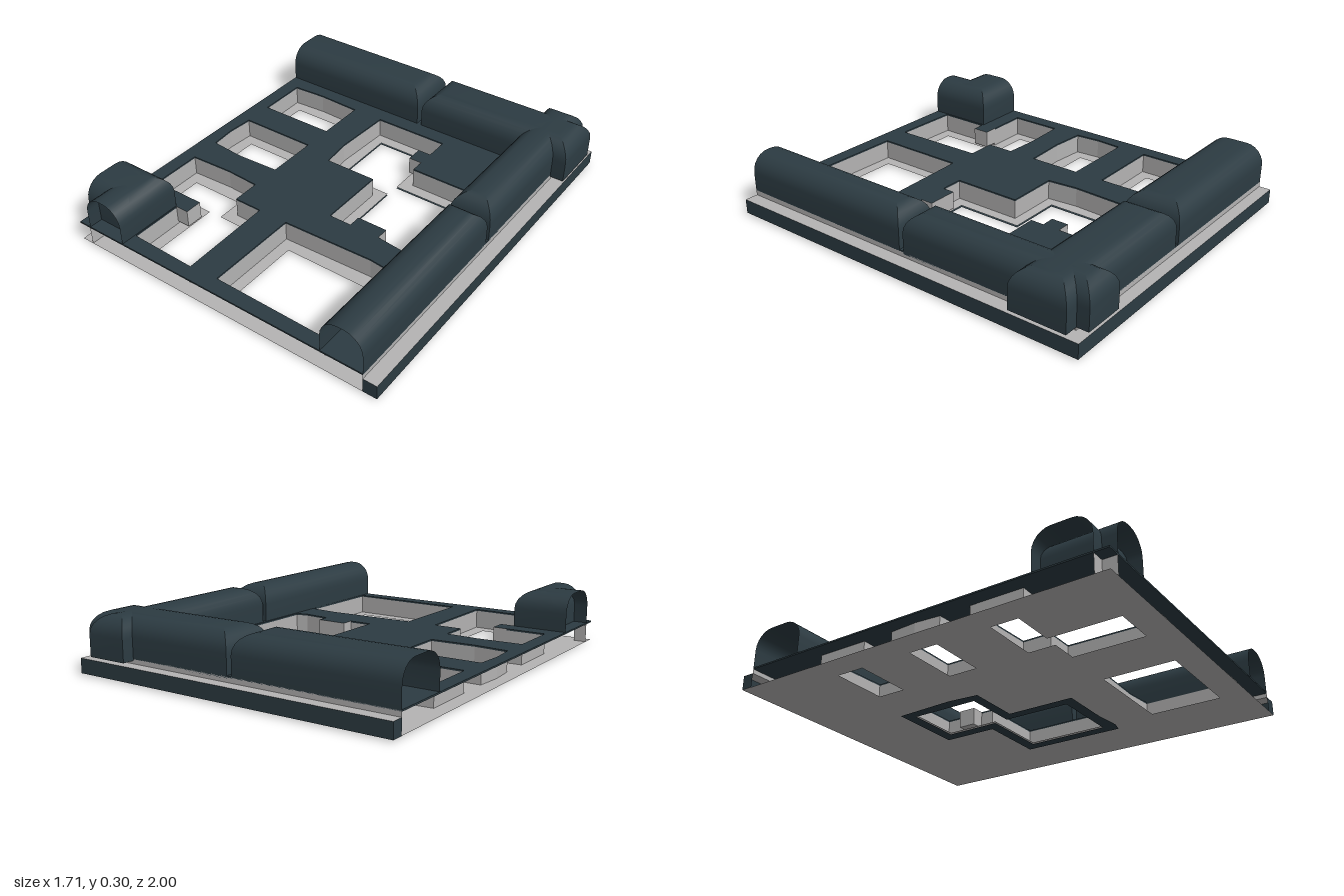
import * as THREE from 'three';
import { toCreasedNormals } from 'three/addons/utils/BufferGeometryUtils.js';

const FLOOR = 0.115, BASE = 0.012;

export function createModel() {
  const model = new THREE.Group();
  model.name = 'wallTile';
  const dark = new THREE.MeshStandardMaterial({ color: 0x2c3b42, side: THREE.DoubleSide });
  dark.name = 'dark slate';
  const light = new THREE.MeshStandardMaterial({ color: 0xb4b3b3, side: THREE.DoubleSide });
  light.name = 'pale grey';

  const add = (name, geometry, material) => {
    const mesh = new THREE.Mesh(geometry, material);
    mesh.name = name;
    model.add(mesh);
    return mesh;
  };
  // plan outlines are [x, z] pairs
  const rect = (x0, z0, x1, z1) => [[x0, z0], [x1, z0], [x1, z1], [x0, z1]];
  const points = (outline) => outline.map(([x, z]) => new THREE.Vector2(x, -z));
  const plan = (outline, holes = []) => {
    const shape = new THREE.Shape(points(outline));
    shape.holes = holes.map((h) => new THREE.Path(points(h)));
    return shape;
  };
  const sheet = (outline, holes, y) =>
    new THREE.ShapeGeometry(plan(outline, holes)).rotateX(-Math.PI / 2).translate(0, y, 0);

  // vertical strip following a plan outline
  const strip = (outline, y0, y1, closed) => {
    const pos = [], n = outline.length;
    for (let i = 0; i < (closed ? n : n - 1); i++) {
      const [ax, az] = outline[i], [bx, bz] = outline[(i + 1) % n];
      pos.push(ax, y0, az, ax, y1, az, bx, y1, bz, ax, y0, az, bx, y1, bz, bx, y0, bz);
    }
    const g = new THREE.BufferGeometry();
    g.setAttribute('position', new THREE.Float32BufferAttribute(pos, 3));
    g.computeVertexNormals();
    return g;
  };

  // openings: slightly uneven upper outline, smaller lower outline
  const openings = [
    { outer: [[-0.78, -0.565], [-0.6, -0.575], [-0.37, -0.565], [-0.37, -0.3], [-0.78, -0.3]],
      inner: rect(-0.72, -0.505, -0.43, -0.36) },
    { outer: [[-0.78, -0.14], [-0.37, -0.14], [-0.37, 0.135], [-0.6, 0.145], [-0.78, 0.13], [-0.79, 0]],
      inner: rect(-0.72, -0.08, -0.43, 0.07) },
    { outer: [[-0.78, 0.29], [-0.55, 0.28], [-0.37, 0.29], [-0.37, 0.435], [-0.22, 0.435], [-0.21, 0.93],
        [-0.565, 0.92], [-0.565, 0.56], [-0.78, 0.56]],
      inner: [[-0.72, 0.355], [-0.43, 0.355], [-0.43, 0.495], [-0.285, 0.495], [-0.285, 0.86],
        [-0.5, 0.86], [-0.5, 0.495], [-0.72, 0.495]] },
    { outer: [[-0.06, 0.435], [0.42, 0.42], [0.57, 0.435], [0.565, 0.93], [-0.06, 0.92]],
      inner: rect(0, 0.495, 0.5, 0.86) },
    { outer: [[-0.2, -0.565], [0.2, -0.565], [0.2, -0.28], [0.56, -0.28], [0.56, 0.27], [0.5, 0.285],
        [0.36, 0.27], [0.08, 0.27], [0.08, -0.09], [-0.2, -0.09], [-0.215, -0.25]],
      inner: [[-0.15, -0.505], [0.14, -0.505], [0.14, -0.22], [0.5, -0.22], [0.5, 0.21],
        [0.135, 0.21], [0.135, -0.145], [-0.15, -0.145]] },
  ];

  // upper floor, lower floor and the sleeves between them
  const floor = new THREE.ExtrudeGeometry(
    plan(rect(-0.855, -0.94, 0.785, 1), openings.map((o) => o.outer)),
    { depth: 0.008, bevelEnabled: false });
  add('upperFloor', floor.rotateX(-Math.PI / 2).translate(0, FLOOR - 0.008, 0), dark);
  add('lowerFloor', sheet(rect(-0.855, -1, 0.855, 1), openings.map((o) => o.inner), BASE), light);
  openings.forEach((o) => add('openingSleeve', strip(o.outer, BASE, FLOOR - 0.008, true), light));
  const stepped = openings[4];
  add('openingUnderRim', sheet(stepped.outer, [stepped.inner], 0.003), dark);

  // outer ledge along the back and left sides
  const ledge = [[-0.855, -1], [0.855, -1], [0.855, 1], [0.785, 1], [0.785, -0.94], [-0.855, -0.94]];
  add('ledgeTop', sheet(ledge, [], 0.085), light);
  add('ledgeSide', strip([[-0.855, -0.94], ...ledge.slice(0, 4)], BASE, 0.085, false), dark);
  add('ledgeRiser', strip(ledge.slice(3), 0.085, FLOOR - 0.004, false), light);
  add('cornerPost', strip([[-0.79, 1], [-0.79, 0.93], [-0.855, 0.93]], BASE, FLOOR - 0.008, false), light);

  // small tabs reaching into the openings
  [[0.13, -0.44, 0.2, -0.35], [0.2, 0.205, 0.36, 0.27], [-0.57, 0.56, -0.495, 0.65]].forEach(([x0, z0, x1, z1]) => {
    const tab = add('tab', new THREE.BoxGeometry(x1 - x0, 0.09, z1 - z0),
      [light, light, dark, light, light, light]);
    tab.position.set((x0 + x1) / 2, FLOOR - 0.045, (z0 + z1) / 2);
  });

  // wall shell with rounded top; sides listed in `open` stay cut off and uncapped
  const wall = (name, x0, z0, x1, z1, base, open = '') => {
    const rings = [[0, base]], steps = 6, r = 0.095;
    for (let i = 0; i <= steps; i++) {
      const a = (i / steps) * Math.PI / 2;
      rings.push([r * (1 - Math.cos(a)), 0.207 + r * Math.sin(a)]);
    }
    const loops = rings.map(([inset, y]) => {
      const lx = open === 'left' ? x0 : x0 + inset;
      const hz = open === 'front' ? z1 : z1 - inset;
      return [[lx, y, hz], [x1 - inset, y, hz], [x1 - inset, y, z0 + inset], [lx, y, z0 + inset]];
    });
    const pos = [];
    const quad = (a, b, c, d) => pos.push(...a, ...b, ...c, ...a, ...c, ...d);
    for (let i = 0; i < loops.length - 1; i++) {
      for (let k = 0; k < 4; k++) {
        if ((open === 'front' && k === 0) || (open === 'left' && k === 3)) continue;
        const m = (k + 1) % 4;
        quad(loops[i][k], loops[i][m], loops[i + 1][m], loops[i + 1][k]);
      }
    }
    quad(...loops[loops.length - 1]);
    const g = new THREE.BufferGeometry();
    g.setAttribute('position', new THREE.Float32BufferAttribute(pos, 3));
    add(name, toCreasedNormals(g, 0.5), dark);
  };
  wall('backWallOpenHalf', -0.855, -0.94, -0.015, -0.65, FLOOR, 'left');
  wall('backWallCornerHalf', 0.01, -0.94, 0.855, -0.65, 0.1);
  wall('sideWallOpenHalf', 0.57, 0.012, 0.785, 1, FLOOR, 'front');
  wall('sideWallCornerHalf', 0.57, -1, 0.785, -0.012, 0.1);
  wall('frontCornerWallAcross', -0.855, 0.645, -0.57, 0.93, FLOOR, 'left');
  wall('frontCornerWallAlong', -0.785, 0.645, -0.57, 1, FLOOR, 'front');

  return model;
}
